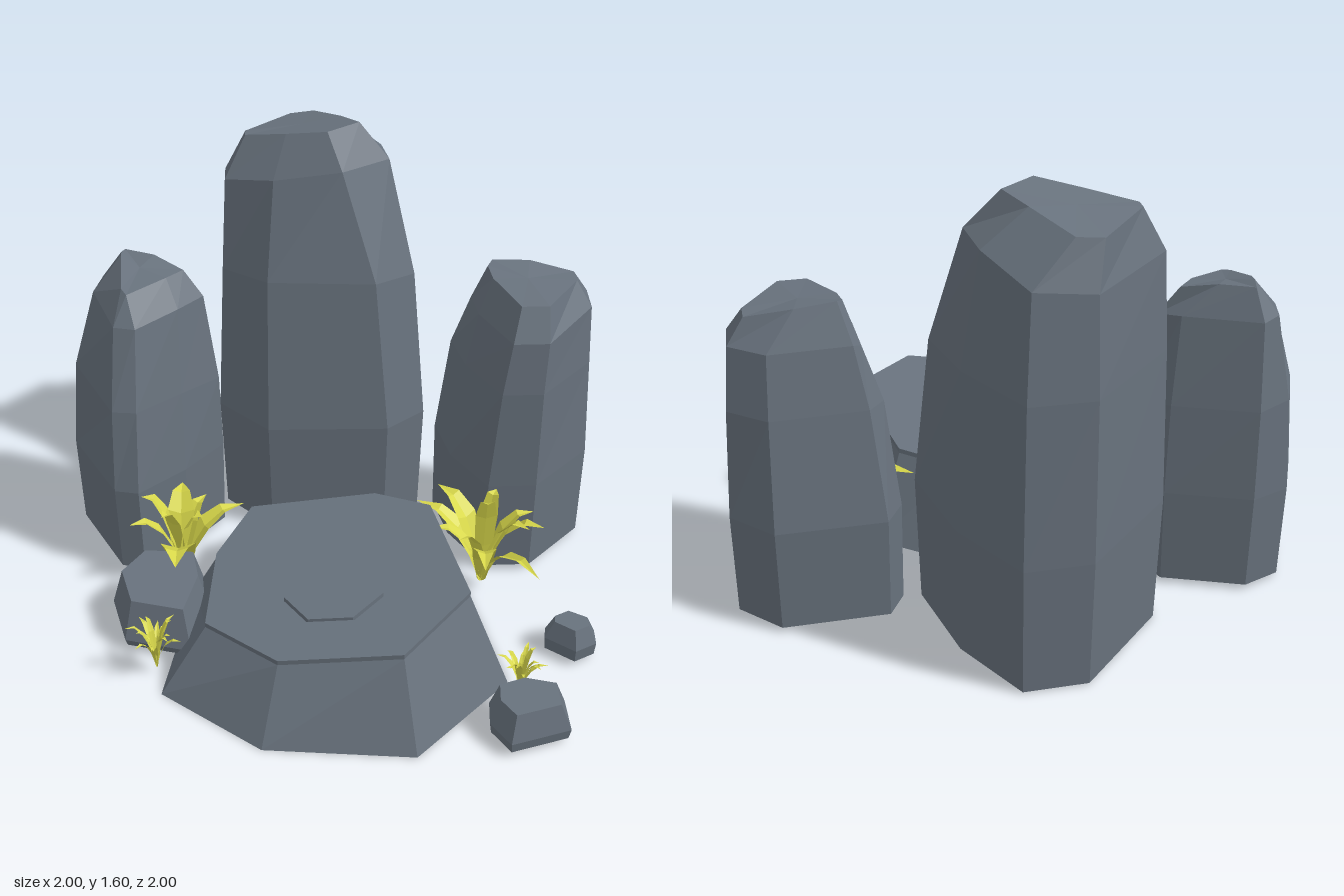
import * as THREE from 'three';

const stone = new THREE.MeshStandardMaterial({ color: 0x68727d });
stone.name = 'slate stone';
const leafMat = new THREE.MeshStandardMaterial({ color: 0xd8d84a, side: THREE.DoubleSide });
leafMat.name = 'yellow leaf';

// Unindexed triangles give faceted normals
function faceted(points, faces) {
  const g = new THREE.BufferGeometry();
  g.setAttribute('position', new THREE.Float32BufferAttribute(faces.flatMap(i => points[i]), 3));
  g.computeVertexNormals();
  return g;
}

const mean = ring => [0, 1, 2].map(k => ring.reduce((s, p) => s + p[k], 0) / ring.length);

// Level ring: an [x, z] outline at height y, scaled about its middle
function level(outline, y, scale = 1) {
  const ring = outline.map(([x, z]) => [x, y, z]);
  const c = mean(ring);
  return ring.map(p => [c[0] + (p[0] - c[0]) * scale, y, c[2] + (p[2] - c[2]) * scale]);
}

// Rock lofted through rings from bottom to top, with both ends capped
function loft(rings) {
  const n = rings[0].length, points = rings.flat(), faces = [];
  for (let r = 0; r < rings.length - 1; r++) {
    for (let i = 0; i < n; i++) {
      const a = r * n + i, b = r * n + (i + 1) % n;
      faces.push(a, a + n, b, b, a + n, b + n);
    }
  }
  const low = points.length, high = low + 1, last = (rings.length - 1) * n;
  points.push(mean(rings[0]), mean(rings[rings.length - 1]));
  for (let i = 0; i < n; i++) {
    const j = (i + 1) % n;
    faces.push(low, i, j, high, last + j, last + i);
  }
  return faceted(points, faces);
}

// Folded, arching leaf from the origin
function leaf(azimuthDeg, reach, height, width) {
  const a = azimuthDeg * Math.PI / 180, s = Math.sin(a), c = Math.cos(a);
  const points = [], faces = [];
  const widths = [0.35, 0.85, 1, 0.65, 0];
  widths.forEach((w, i) => {
    const t = i / 4, r = reach * Math.pow(t, 1.4), y = height * Math.sin(t * 1.75);
    for (const side of [-1, 0, 1]) {
      const o = side * w * width / 2;
      points.push([r * s + o * c, y + Math.abs(o) * 0.35, r * c - o * s]);
    }
    if (i) for (let k = 0; k < 2; k++) {
      const p = (i - 1) * 3 + k;
      faces.push(p, p + 1, p + 3, p + 1, p + 4, p + 3);
    }
  });
  return faceted(points, faces);
}

export function createModel() {
  const model = new THREE.Group();
  model.name = 'standingStones';
  const add = (name, geometry, material = stone, parent = model) => {
    const mesh = new THREE.Mesh(geometry, material);
    mesh.name = name;
    parent.add(mesh);
  };

  // Tall stone at the back
  const tall = [[-0.1, -1], [0.13, -1], [0.29, -0.73], [0.37, -0.39], [0.22, -0.27], [-0.24, -0.28], [-0.43, -0.48], [-0.42, -0.69]];
  add('tallStone', loft([
    level(tall, 0.005, 0.97),
    level(tall, 0.48),
    [[-0.1, 1.05, -0.985], [0.12, 1.05, -0.98], [0.27, 1.06, -0.73], [0.325, 1.05, -0.47], [0.17, 1.08, -0.33], [-0.23, 1.08, -0.36], [-0.4, 1.05, -0.54], [-0.4, 1.05, -0.7]],
    [[-0.1, 1.38, -0.95], [0.1, 1.4, -0.94], [0.21, 1.46, -0.74], [0.23, 1.47, -0.58], [0.05, 1.48, -0.44], [-0.2, 1.43, -0.49], [-0.38, 1.39, -0.6], [-0.38, 1.39, -0.7]],
    [[-0.13, 1.53, -0.89], [-0.04, 1.54, -0.89], [0.06, 1.58, -0.73], [0.12, 1.6, -0.62], [0, 1.6, -0.53], [-0.15, 1.57, -0.59], [-0.3, 1.54, -0.66], [-0.3, 1.54, -0.7]],
  ]));

  // Stone on the viewer's left
  const rightSide = [[-0.78, -0.61], [-0.49, -0.5], [-0.42, -0.34], [-0.56, -0.17], [-0.73, -0.02], [-0.82, -0.04], [-1, -0.38], [-0.92, -0.56]];
  add('rightStone', loft([
    level(rightSide, 0.02, 0.975),
    level(rightSide, 0.38),
    [[-0.78, 0.72, -0.6], [-0.5, 0.72, -0.49], [-0.425, 0.68, -0.35], [-0.56, 0.7, -0.21], [-0.72, 0.7, -0.08], [-0.81, 0.7, -0.09], [-0.97, 0.73, -0.39], [-0.9, 0.73, -0.55]],
    [[-0.78, 1.04, -0.57], [-0.53, 1.04, -0.46], [-0.47, 1.02, -0.38], [-0.56, 1.02, -0.28], [-0.71, 1.0, -0.17], [-0.79, 1.0, -0.19], [-0.88, 1.03, -0.41], [-0.85, 1.04, -0.52]],
    [[-0.76, 1.15, -0.52], [-0.65, 1.15, -0.47], [-0.54, 1.12, -0.4], [-0.6, 1.12, -0.34], [-0.74, 1.1, -0.25], [-0.76, 1.11, -0.28], [-0.77, 1.16, -0.45], [-0.77, 1.16, -0.48]],
  ]));

  // Stone on the viewer's right
  const leftSide = [[0.48, -0.51], [0.86, -0.51], [1, -0.37], [0.985, -0.21], [0.76, 0.015], [0.58, 0.015], [0.46, -0.2], [0.42, -0.41]];
  add('leftStone', loft([
    level(leftSide, 0.02, 0.985),
    level(leftSide, 0.4),
    [[0.52, 0.8, -0.45], [0.85, 0.8, -0.46], [0.98, 0.8, -0.36], [0.965, 0.8, -0.21], [0.76, 0.8, 0.01], [0.61, 0.8, 0.01], [0.5, 0.8, -0.21], [0.465, 0.8, -0.39]],
    [[0.56, 1.02, -0.41], [0.84, 1.02, -0.42], [0.96, 1.03, -0.35], [0.955, 1.03, -0.22], [0.77, 1.0, -0.01], [0.64, 1.0, -0.01], [0.54, 1.01, -0.22], [0.53, 1.0, -0.37]],
    [[0.6, 1.16, -0.36], [0.74, 1.15, -0.37], [0.9, 1.12, -0.33], [0.9, 1.12, -0.26], [0.77, 1.12, -0.07], [0.67, 1.12, -0.07], [0.59, 1.14, -0.25], [0.58, 1.15, -0.33]],
  ]));

  // Sloping slab; its carved top layer has real grooves
  const slope = x => 0.298 + 0.136 * x, carve = 0.018;
  const slabBase = [[-0.35, -0.24], [0.24, -0.19], [0.47, -0.02], [0.59, 0.64], [0.24, 0.985], [-0.28, 0.93], [-0.63, 0.65], [-0.53, 0.08]];
  const slabTop = [[-0.31, -0.09], [0.16, -0.07], [0.36, 0.05], [0.45, 0.57], [0.2, 0.84], [-0.22, 0.79], [-0.47, 0.55], [-0.44, 0.17]];
  add('slab', loft([
    level(slabBase, 0),
    slabTop.map(([x, z]) => [x, slope(x) - carve, z]),
  ]));

  const outline = pts => pts.map(([x, z]) => new THREE.Vector2(x, -z));
  const heptagon = r => Array.from({ length: 7 }, (_, i) => {
    const a = i / 7 * Math.PI * 2 + 0.13;
    return [-0.015 + Math.sin(a) * r, 0.45 - Math.cos(a) * r];
  });
  const diamond = (x, z, length, width, angle) => [[0, -0.5], [0.5, -0.1], [0.35, 0.2], [0, 0.5], [-0.35, 0.2], [-0.5, -0.1]].map(([u, v]) => {
    const p = u * width, q = v * length;
    return [x + p * Math.cos(angle) - q * Math.sin(angle), z + p * Math.sin(angle) + q * Math.cos(angle)];
  });
  const slabLayer = (pts, holes = []) => {
    const shape = new THREE.Shape(outline(pts));
    holes.forEach(h => shape.holes.push(new THREE.Path(outline(h))));
    const g = new THREE.ExtrudeGeometry(shape, { depth: carve, bevelEnabled: false });
    g.rotateX(-Math.PI / 2);
    const p = g.attributes.position;
    for (let i = 0; i < p.count; i++) p.setY(i, p.getY(i) + slope(p.getX(i)) - carve);
    g.computeVertexNormals();
    return g;
  };
  add('carvedTop', slabLayer(slabTop, [
    heptagon(0.195),
    diamond(-0.155, 0.185, 0.11, 0.035, -0.3),
    diamond(0.003, 0.15, 0.18, 0.04, 0.05),
    diamond(0.175, 0.23, 0.13, 0.035, 0.45),
  ]));
  add('carvedCentre', slabLayer(heptagon(0.18)));

  // Loose boulders: outline, widest height, top height, top scale
  [
    ['sideBoulder', [[-0.73, 0.05], [-0.5, 0.07], [-0.47, 0.25], [-0.53, 0.49], [-0.77, 0.42], [-0.83, 0.2]], 0.05, 0.2, 0.78],
    ['frontBoulder', [[0.5, 0.8], [0.62, 0.76], [0.76, 0.8], [0.76, 0.94], [0.55, 1], [0.49, 0.9]], 0.06, 0.16, 0.74],
    ['smallBoulder', [[0.75, 0.44], [0.83, 0.4], [0.925, 0.46], [0.92, 0.53], [0.84, 0.57], [0.74, 0.49]], 0.07, 0.14, 0.65],
  ].forEach(([name, pts, mid, top, scale]) =>
    add(name, loft([level(pts, 0.02, 0.95), level(pts, mid), level(pts, top, scale)])));

  // Plants: each leaf is azimuth, reach, height, width
  const plant = (name, x, y, z, leaves) => {
    const group = new THREE.Group();
    group.name = name;
    group.position.set(x, y, z);
    leaves.forEach(l => add('leaf', leaf(...l), leafMat, group));
    model.add(group);
  };
  plant('rightPlant', -0.58, 0.04, 0.03, [
    [0, 0.3, 0.27, 0.13], [113, 0.26, 0.25, 0.09], [178, 0.18, 0.3, 0.1], [-72, 0.19, 0.28, 0.07],
    [-100, 0.14, 0.35, 0.07], [-35, 0.1, 0.33, 0.07], [65, 0.1, 0.3, 0.08], [145, 0.17, 0.27, 0.07],
  ]);
  plant('leftPlant', 0.56, 0.03, 0.11, [
    [-7, 0.31, 0.3, 0.09], [24, 0.37, 0.28, 0.06], [62, 0.23, 0.33, 0.07], [100, 0.19, 0.3, 0.07],
    [-124, 0.29, 0.27, 0.08], [-141, 0.25, 0.32, 0.09], [-95, 0.2, 0.25, 0.07], [-50, 0.14, 0.27, 0.07],
    [150, 0.1, 0.37, 0.07], [0, 0.05, 0.4, 0.08], [45, 0.2, 0.35, 0.06],
  ]);
  const tuft = (count, reach, height) => Array.from({ length: count }, (_, i) =>
    [i * 360 / count + (i % 3) * 9, reach * (0.65 + (i % 2) * 0.35), height * (0.65 + (i * 5 % 7) / 17), 0.022]);
  plant('rightTuft', -0.65, 0.03, 0.54, tuft(15, 0.1, 0.2));
  plant('leftTuft', 0.62, 0.03, 0.71, tuft(13, 0.09, 0.17));

  return model;
}
